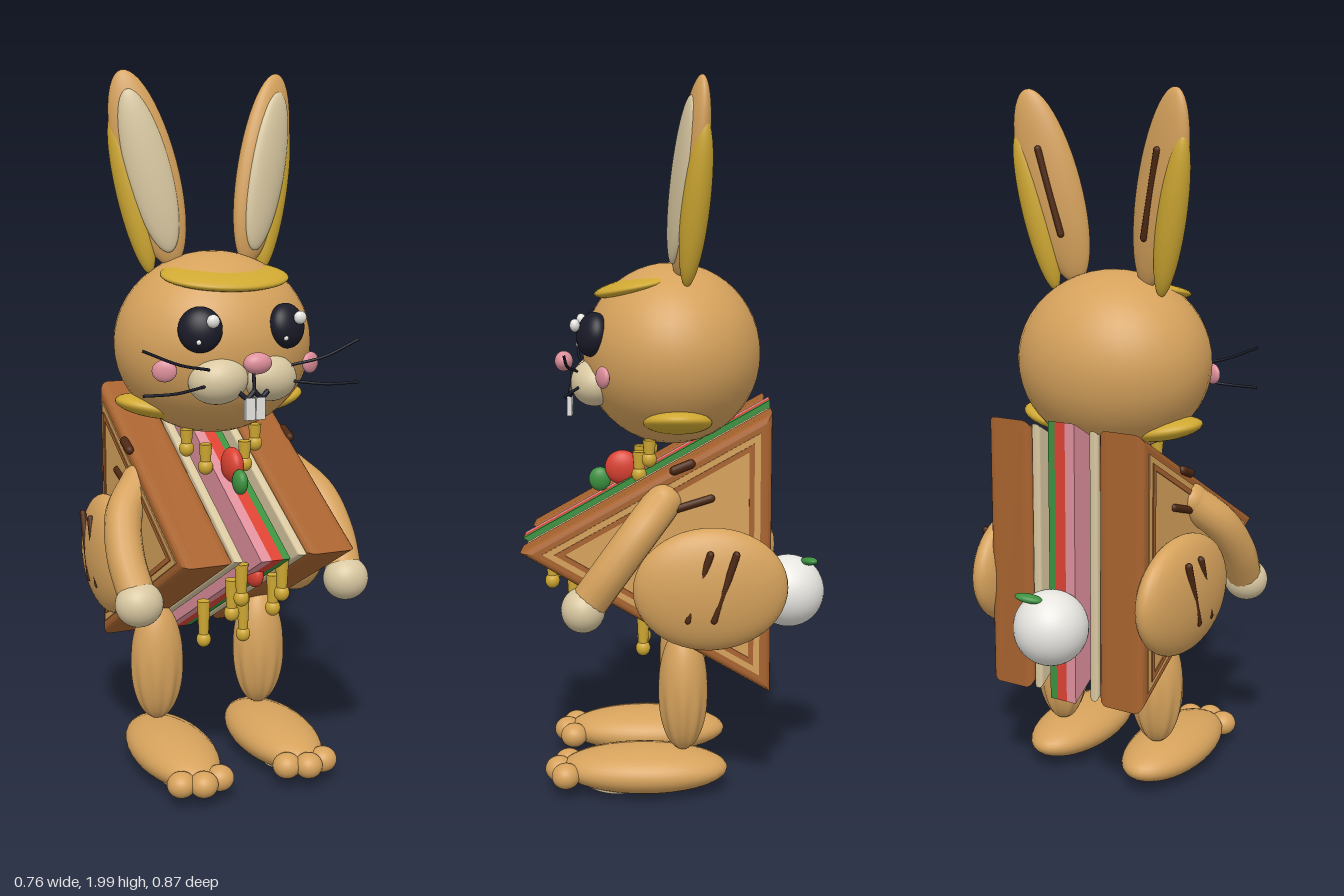
import * as THREE from 'three';

const colours = {
  toast: 0xd6a25c, crust: 0xa8632f, cream: 0xd8c7a0, cheese: 0xcfa832, char: 0x4e2812,
  black: 0x1a1b28, white: 0xe6e5e0, pink: 0xdf909c, red: 0xdb4232, green: 0x3c9140,
};

export function createModel() {
  const model = new THREE.Group();
  model.name = 'sandwichRabbit';
  const M = {};
  for (const [name, color] of Object.entries(colours)) {
    M[name] = new THREE.MeshStandardMaterial({ color });
    M[name].name = name;
  }
  const V = (p) => new THREE.Vector3(...p);

  const add = (name, geo, mat, parent = model) => {
    const mesh = new THREE.Mesh(geo, mat);
    mesh.name = name;
    parent.add(mesh);
    return mesh;
  };
  // Ellipsoid
  const ball = (name, mat, pos, radii, rot = [0, 0, 0], parent = model) => {
    const mesh = add(name, new THREE.SphereGeometry(1, 36, 24), mat, parent);
    mesh.position.set(...pos);
    mesh.scale.set(...radii);
    mesh.rotation.set(...rot);
    return mesh;
  };
  // Round-ended bar between two points
  const bar = (name, mat, a, b, r, parent = model) => {
    const from = V(a), to = V(b), dir = to.clone().sub(from);
    const mesh = add(name, new THREE.CapsuleGeometry(r, dir.length(), 4, 10), mat, parent);
    mesh.position.copy(from).add(to).multiplyScalar(0.5);
    mesh.quaternion.setFromUnitVectors(new THREE.Vector3(0, 1, 0), dir.normalize());
    return mesh;
  };
  const tube = (name, mat, pts, r) =>
    add(name, new THREE.TubeGeometry(new THREE.CatmullRomCurve3(pts.map(V)), 24, r, 14), mat);

  // Triangular slices, drawn in the z-y plane and given thickness along x
  const corners = (k) => [[0.435, 0.715], [-0.272, 1.115], [-0.272, 0.31]]
    .map(([z, y]) => new THREE.Vector2(-0.036 + (z + 0.036) * k, 0.713 + (y - 0.713) * k));
  const slice = (name, mat, x0, x1, k, bevel = 0, hole = 0) => {
    const shape = new THREE.Shape(corners(k));
    if (hole) shape.holes.push(new THREE.Path(corners(hole).reverse()));
    const depth = x1 - x0 - 2 * bevel;
    const geo = new THREE.ExtrudeGeometry(shape, {
      depth, bevelEnabled: bevel > 0, bevelThickness: bevel, bevelSize: bevel,
      bevelOffset: -bevel, bevelSegments: 4,
    });
    geo.translate(0, 0, -depth / 2).rotateY(-Math.PI / 2).translate((x0 + x1) / 2, 0, 0);
    return add(name, geo, mat);
  };

  // Sandwich fillings
  slice('hamSlice', M.pink, -0.04, -0.01, 1);
  slice('tomatoSlice', M.red, -0.01, 0.023, 1);
  slice('lettuceSlice', M.green, 0.023, 0.044, 1);
  ball('tomatoTop', M.red, [0, 0.915, 0.15], [0.028, 0.05, 0.05]);
  ball('tomatoBottom', M.red, [0, 0.64, 0.3], [0.022, 0.035, 0.04]);
  ball('basilLeaf', M.green, [-0.005, 0.88, 0.215], [0.02, 0.035, 0.032]);

  // Head and fringe
  ball('head', M.toast, [0, 1.245, 0.007], [0.284, 0.257, 0.253]);
  ball('fringe', M.cheese, [0, 1.438, 0.095], [0.185, 0.027, 0.135], [0.2, 0, 0]);

  // Nose, mouth and teeth
  ball('nose', M.pink, [0, 1.222, 0.315], [0.04, 0.029, 0.026]);
  bar('lipLine', M.black, [0, 1.2, 0.29], [0, 1.145, 0.295], 0.005);

  // Tail with leaf
  ball('tail', M.white, [0, 0.55, -0.333], [0.105, 0.105, 0.105]);
  ball('tailLeaf', M.green, [0.033, 0.645, -0.39], [0.04, 0.012, 0.02], [0, 0.35, 0.15]);

  // Lower leg: ellipsoid with fluting that fades in towards the ankle
  const legGeo = new THREE.SphereGeometry(1, 64, 24);
  const p = legGeo.attributes.position;
  for (let i = 0; i < p.count; i++) {
    const y = p.getY(i), a = Math.atan2(p.getZ(i), p.getX(i));
    const f = 1 + 0.045 * Math.cos(10 * a) * THREE.MathUtils.smoothstep(-y, -0.3, 0.4);
    p.setXYZ(i, p.getX(i) * f, y, p.getZ(i) * f);
  }
  legGeo.computeVertexNormals();

  for (const s of [1, -1]) {
    const side = s > 0 ? 'left' : 'right';
    const n = (part) => side + part;
    const X = (x, y, z) => [s * x, y, z];
    const span = (a, b) => (s > 0 ? [a, b] : [-b, -a]);

    // Bread with cream spread, toasted face and scored border
    slice(n('Spread'), M.cream, ...span(0.08, 0.106), 0.96, 0.01);
    slice(n('BreadCrust'), M.crust, ...span(0.11, 0.25), 0.975, 0.025);
    slice(n('BreadFace'), M.toast, ...span(0.24, 0.253), 0.84);
    slice(n('BreadScore'), M.crust, ...span(0.25, 0.256), 0.77, 0, 0.71);
    bar(n('BreadCharLow'), M.char, X(0.254, 0.822, 0.06), X(0.254, 0.872, -0.1), 0.011);
    bar(n('BreadCharHigh'), M.char, X(0.25, 0.948, 0.0), X(0.25, 0.966, -0.045), 0.013);

    // Melted cheese at the neck and its drips
    ball(n('CollarCheese'), M.cheese, X(0.175, 1.068, -0.01), [0.11, 0.032, 0.095], [0, 0, s * 0.2]);
    const drips = [[0.06, 0.97, 0.1, 0.06], [0.105, 1.01, 0.07, 0.05],
      [0.06, 0.69, 0.35, 0.09], [0.062, 0.63, 0.29, 0.09], [0.062, 0.51, 0.09, 0.11]];
    for (const [x, y, z, h] of drips) {
      const stem = add(n('DripStem'), new THREE.CylinderGeometry(0.019, 0.014, h, 14), M.cheese);
      stem.position.set(s * x, y - h / 2, z);
      ball(n('DripBead'), M.cheese, X(x, y - h - 0.005, z), [0.021, 0.023, 0.021]);
    }

    // Ear: shell, pale inside, cheese rim and char mark
    const ear = new THREE.Group();
    ear.name = n('Ear');
    ear.position.set(s * 0.112, 1.465, -0.012);
    ear.rotation.set(-0.12, s * 0.3, -s * 0.23, 'XZY');
    model.add(ear);
    ball('earShell', M.toast, [0, 0.27, 0], [0.084, 0.275, 0.04], undefined, ear);
    ball('innerEar', M.cream, [0, 0.262, 0.024], [0.062, 0.228, 0.026], undefined, ear);
    ball('earCheese', M.cheese, X(0.06, 0.215, -0.005), [0.042, 0.225, 0.038], [0, 0, s * 0.03], ear);
    bar('earChar', M.char, [0, 0.14, -0.037], [0, 0.38, -0.037], 0.01, ear);

    // Face
    ball(n('Eye'), M.black, X(0.127, 1.307, 0.225), [0.06, 0.062, 0.04], [-0.2, s * 0.45, 0]);
    ball(n('EyeShine'), M.white, [s * 0.127 + 0.018, 1.333, 0.272], [0.018, 0.018, 0.014]);
    ball(n('EyeGlint'), M.white, [s * 0.127 - 0.02, 1.278, 0.265], [0.007, 0.007, 0.007]);
    ball(n('Muzzle'), M.cream, X(0.075, 1.168, 0.225), [0.082, 0.065, 0.065], [0, s * 0.2, -s * 0.12]);
    ball(n('Cheek'), M.pink, X(0.217, 1.197, 0.193), [0.034, 0.03, 0.014], [0, s * 0.5, 0]);
    tube(n('Smile'), M.black, [X(0, 1.145, 0.295), X(0.02, 1.127, 0.296), X(0.042, 1.142, 0.29)], 0.007);
    const tooth = add(n('Tooth'), new THREE.BoxGeometry(0.027, 0.06, 0.014), M.white);
    tooth.position.set(s * 0.0148, 1.098, 0.298);
    tube(n('UpperWhisker'), M.black, [X(0.12, 1.205, 0.27), X(0.21, 1.225, 0.288), X(0.315, 1.268, 0.29)], 0.004);
    tube(n('LowerWhisker'), M.black, [X(0.13, 1.16, 0.265), X(0.22, 1.15, 0.288), X(0.315, 1.15, 0.29)], 0.004);

    // Arm and paw
    const shoulder = X(0.235, 0.86, 0.03);
    tube(n('Arm'), M.toast, [shoulder, X(0.3, 0.79, 0.09), X(0.322, 0.69, 0.165), X(0.313, 0.59, 0.235)], 0.052);
    ball(n('Shoulder'), M.toast, shoulder, [0.052, 0.052, 0.052]);
    ball(n('Paw'), M.cream, X(0.313, 0.578, 0.245), [0.066, 0.062, 0.06]);

    // Thigh with char marks
    ball(n('Thigh'), M.toast, X(0.283, 0.627, -0.1), [0.066, 0.17, 0.212], [0, s * 0.08, 0]);
    for (const z of [-0.065, -0.135]) {
      bar(n('ThighChar'), M.char, X(0.338, 0.555, z + 0.028), X(0.338, 0.735, z - 0.032), 0.01);
    }

    // Leg, foot, toes and sole pad
    const leg = add(n('Leg'), legGeo, M.toast);
    leg.position.set(s * 0.163, 0.307, -0.025);
    leg.scale.set(0.078, 0.178, 0.07);
    ball(n('Foot'), M.toast, X(0.16, 0.073, 0.085), [0.115, 0.066, 0.237]);
    for (const dx of [-0.057, 0, 0.057]) {
      ball(n('Toe'), M.toast, X(0.16 + dx, 0.068, dx ? 0.305 : 0.328), [0.04, 0.036, 0.04]);
    }
    ball(n('SolePad'), M.cream, X(0.16, 0.024, 0.18), [0.065, 0.018, 0.075], [-0.12, 0, 0]);
  }

  // Rest the soles on the ground
  const box = new THREE.Box3().setFromObject(model, true);
  model.position.y = -box.min.y;
  return model;
}
